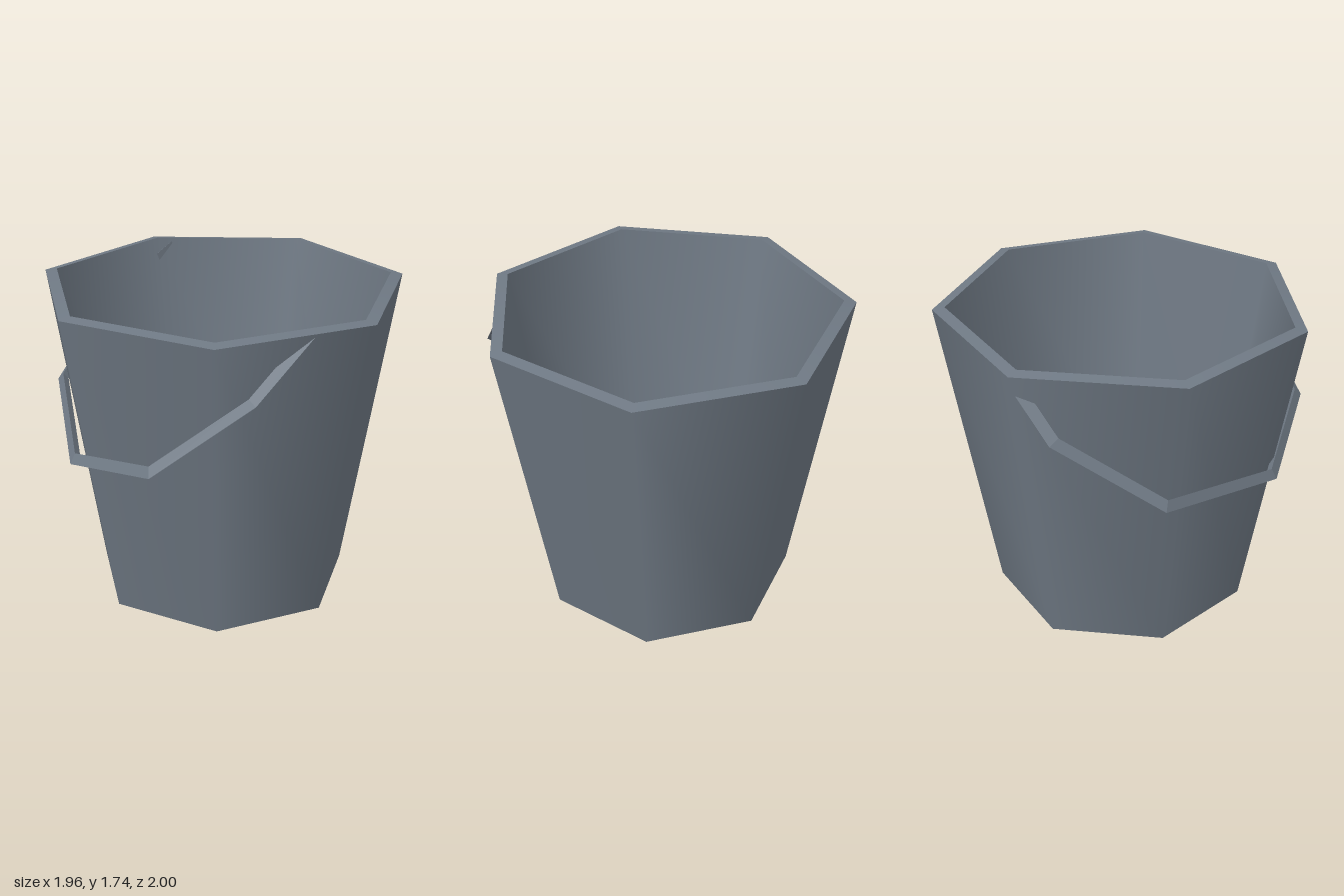
import * as THREE from 'three';

const SIDES = 7;

export function createModel() {
  const model = new THREE.Group();
  const slate = new THREE.MeshStandardMaterial({ color: 0x6f7984 });
  slate.name = 'slate grey metal';

  const add = (name, geometry, parent) => {
    const mesh = new THREE.Mesh(geometry, slate);
    mesh.name = name;
    parent.add(mesh);
  };

  // Seven-sided tapered bucket; separate bands keep the rim and floor edges sharp
  const bucket = new THREE.Group();
  bucket.name = 'bucket';
  bucket.position.z = 0.026;
  model.add(bucket);
  const band = (name, ...profile) => add(name, new THREE.LatheGeometry(
    profile.map(([r, y]) => new THREE.Vector2(r, y)), SIDES, Math.PI), bucket);
  band('base', [0, 0], [0.71, 0]);
  band('outerWall', [0.71, 0], [1.007, 1.725]);
  band('rim', [1.007, 1.725], [0.94, 1.737]);
  band('innerWall', [0.94, 1.737], [0.66, 0.1]);
  band('floor', [0.66, 0.1], [0, 0.1]);

  add('handle', handleGeometry(), model);
  return model;
}

// Hanging handle: triangular bar swept along a polyline in a tilted plane
function handleGeometry() {
  const pivot = new THREE.Vector3(0.1, 1.71, 0);
  const down = new THREE.Vector3(-0.775, -0.632, 0).normalize();
  const normal = new THREE.Vector3(down.y, -down.x, 0);
  const at = (u, z, n) => pivot.clone().addScaledVector(down, u).addScaledVector(normal, n).setZ(z);

  // [distance down the slope, z] of the outer ridge
  const path = [[0, -0.93], [0.45, -1], [1.06, -0.68], [1.315, 0.13], [1.06, 0.78], [0.45, 1], [0, 0.93]];
  const centre = [0.35, 0.03];
  const rings = path.map(([u, z]) => {
    const iu = u + (centre[0] - u) * 0.06;
    const iz = z + (centre[1] - z) * 0.06;
    return [at(u, z, 0), at(iu, iz, 0.024), at(iu, iz, -0.024)];
  });

  const points = [...rings[0]];
  for (let i = 0; i + 1 < rings.length; i++) {
    const a = rings[i], b = rings[i + 1];
    for (let j = 0; j < 3; j++) {
      const k = (j + 1) % 3;
      points.push(a[j], b[j], b[k], a[j], b[k], a[k]);
    }
  }
  points.push(...rings[rings.length - 1].slice().reverse());

  const geometry = new THREE.BufferGeometry().setFromPoints(points);
  geometry.computeVertexNormals();
  return geometry;
}
